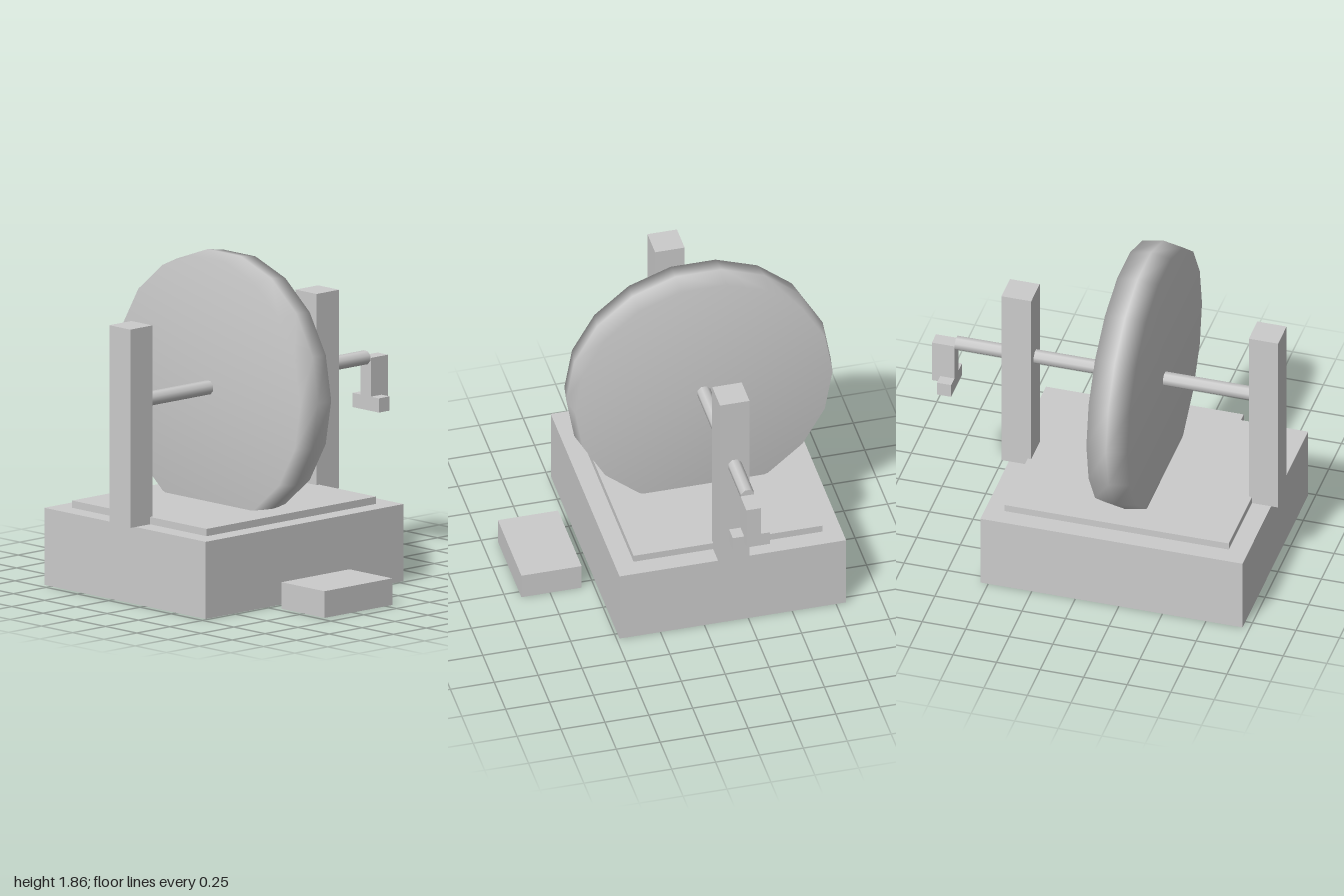
import * as THREE from 'three';

export function createModel() {
  const group = new THREE.Group();
  const grey = new THREE.MeshStandardMaterial({ color: 0xcccccc, side: THREE.DoubleSide });
  const axisY = 1.118, axisZ = -0.162;

  function add(name, geometry) {
    const mesh = new THREE.Mesh(geometry, grey);
    mesh.name = name;
    group.add(mesh);
    return mesh;
  }

  // Box given by its extents; an open box has no underside
  function box(name, [x0, x1], [y0, y1], [z0, z1], open = false) {
    const g = new THREE.BoxGeometry(x1 - x0, y1 - y0, z1 - z0);
    if (open) {
      const index = Array.from(g.index.array);
      index.splice(18, 6);
      g.setIndex(index);
      g.clearGroups();
    }
    add(name, g).position.set((x0 + x1) / 2, (y0 + y1) / 2, (z0 + z1) / 2);
  }

  // Hollow base with a thin raised slab, and the foot pedal in front
  box('base', [-0.96, 0.545], [0, 0.434], [-0.807, 0.483], true);
  box('baseSlab', [-0.85, 0.437], [0.434, 0.475], [-0.7, 0.375]);
  box('pedal', [-0.465, 0.05], [0, 0.15], [0.57, 0.913], true);

  // Two upright posts
  box('rightPost', [-1, -0.832], [0.434, 1.55], [axisZ - 0.084, axisZ + 0.084]);
  box('leftPost', [0.417, 0.588], [0.434, 1.55], [axisZ - 0.084, axisZ + 0.084]);

  // Grinding wheel: 18 sides, ridged rim, smooth shaded
  const half = 0.118, rim = 0.753, edge = 0.733;
  const profile = [[0, -half], [edge, -half], [rim, 0], [edge, half], [0, half]];
  const wheel = add('wheel', new THREE.LatheGeometry(profile.map(p => new THREE.Vector2(...p)), 18));
  wheel.rotation.z = Math.PI / 2;
  wheel.position.set(-0.207, axisY, axisZ);

  // Axle through wheel and posts
  const start = -0.9, end = 0.87;
  const axle = add('axle', new THREE.CylinderGeometry(0.04, 0.04, end - start, 8, 1, false, Math.PI / 8));
  axle.rotation.z = Math.PI / 2;
  axle.position.set((start + end) / 2, axisY, axisZ);

  // Crank arm and its grip
  box('crankArm', [0.87, 1], [0.865, 1.12], [axisZ - 0.041, axisZ + 0.041]);
  box('crankGrip', [0.87, 0.952], [0.822, 0.902], [axisZ - 0.106, axisZ + 0.106], true);

  return group;
}
